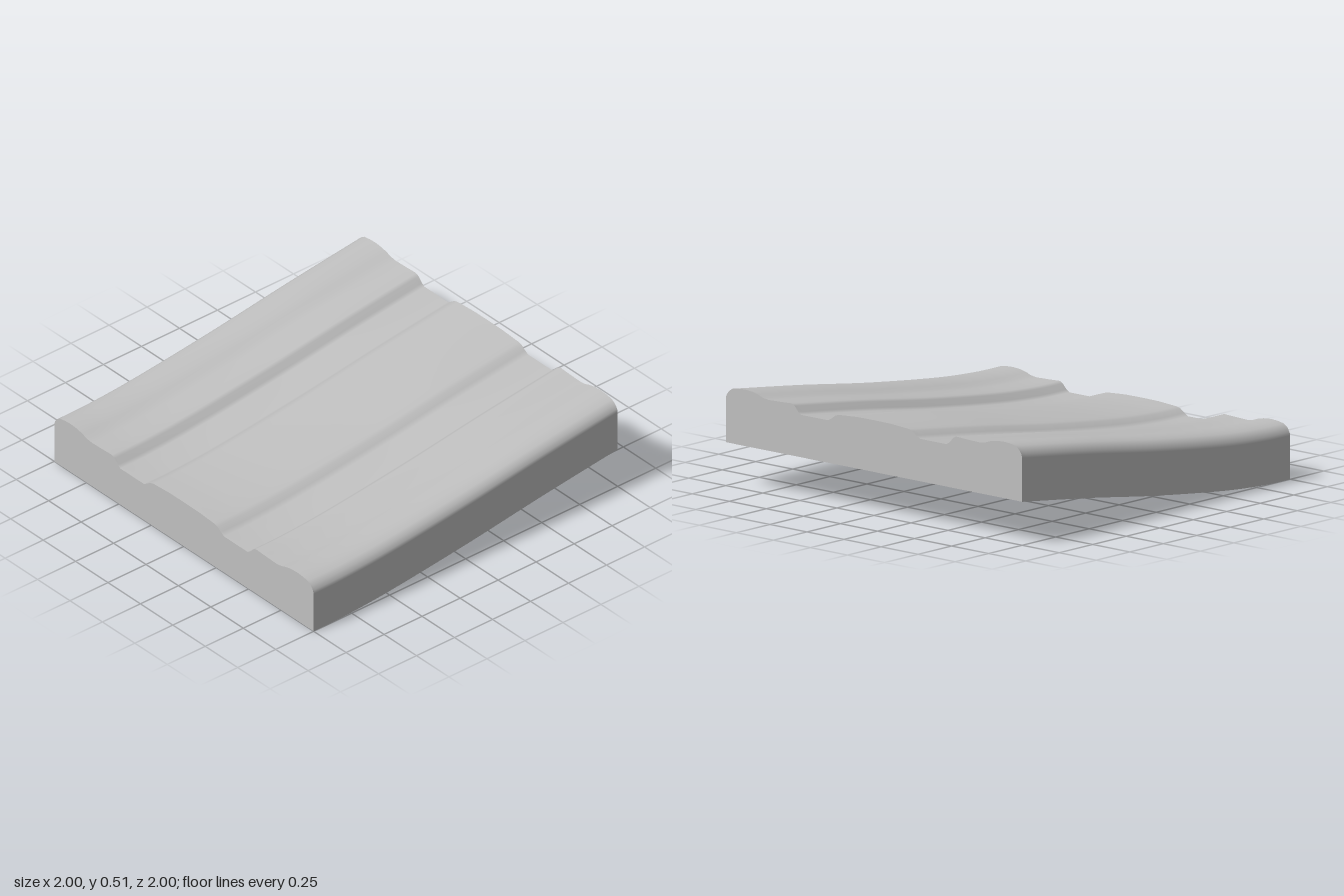
import * as THREE from 'three';

// Half of the moulding profile as [z, height], front edge to centre
const HALF = [
  [1, 0], [1, 0.225], [0.995, 0.243], [0.98, 0.264], [0.955, 0.281], [0.91, 0.288], [0.87, 0.29], [0.82, 0.286],
  [0.78, 0.277], [0.75, 0.266], [0.71, 0.261], [0.62, 0.264], [0.555, 0.267], [0.535, 0.257],
  [0.51, 0.23], [0.49, 0.218], [0.31, 0.218], [0.285, 0.232], [0.26, 0.25], [0.235, 0.257],
  [0.19, 0.26], [0.11, 0.265], [0, 0.266],
];
const PROFILE = [...HALF, ...HALF.slice(0, -1).reverse().map(([z, h]) => [-z, h])];

// Rising sweep path along x
const PATH = new THREE.SplineCurve([
  [-1, 0.002], [-0.8, 0.005], [-0.5, 0.027], [0, 0.087], [0.5, 0.16], [1, 0.225],
].map(([x, y]) => new THREE.Vector2(x, y)));

// Carry a line of [z, height] points along the path
function sweep(line, steps = 48) {
  const pos = [], index = [], n = line.length;
  for (let i = 0; i <= steps; i++) {
    const p = PATH.getPoint(i / steps);
    for (const [z, h] of line) pos.push(p.x, p.y + h, z);
  }
  for (let i = 0; i < steps; i++) {
    for (let j = 0; j < n - 1; j++) {
      const a = i * n + j, b = a + n;
      index.push(a, b, a + 1, b, b + 1, a + 1);
    }
  }
  const g = new THREE.BufferGeometry();
  g.setAttribute('position', new THREE.Float32BufferAttribute(pos, 3));
  g.setIndex(index);
  g.computeVertexNormals();
  return g;
}

export function createModel() {
  const group = new THREE.Group();
  group.name = 'curvedMoulding';
  const grey = new THREE.MeshStandardMaterial({ color: 0xc0c0c0 });
  grey.name = 'light grey';
  const add = (name, geometry) => {
    const mesh = new THREE.Mesh(geometry, grey);
    mesh.name = name;
    group.add(mesh);
  };

  // Moulded top with its front and back sides, and the plain underside
  add('mouldedSurface', sweep(PROFILE));
  add('underside', sweep([[-1, 0], [1, 0]]));

  // Flat profile-shaped ends
  const shape = new THREE.Shape(PROFILE.map(([z, h]) => new THREE.Vector2(z, h)));
  for (const [name, side] of [['leftEnd', 1], ['rightEnd', -1]]) {
    const end = PATH.getPoint(side > 0 ? 1 : 0);
    add(name, new THREE.ShapeGeometry(shape).rotateY(side * Math.PI / 2).translate(end.x, end.y, 0));
  }
  return group;
}
